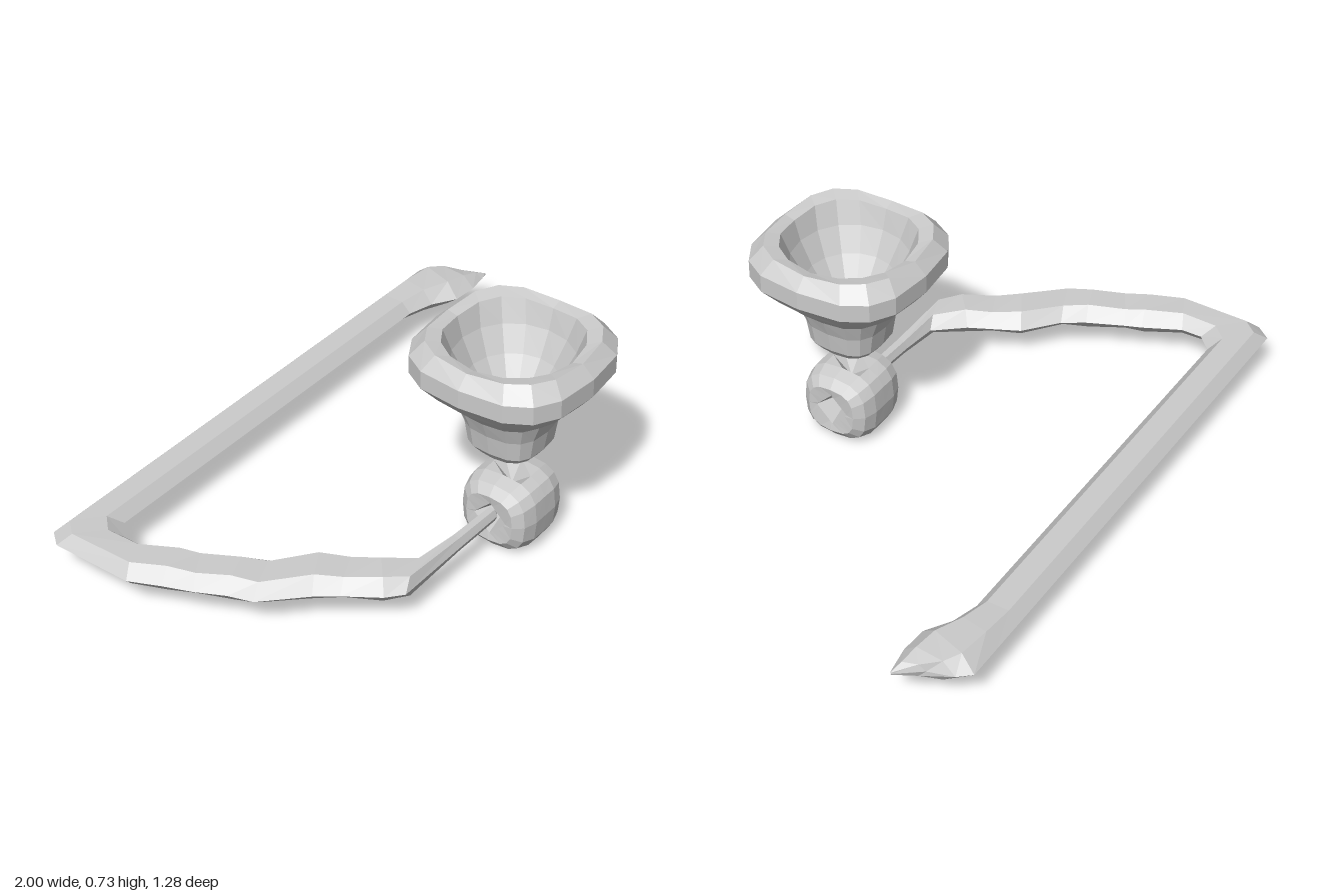
import * as THREE from 'three';

const material = new THREE.MeshStandardMaterial({ color: 0xcccccc, flatShading: true });

// Skin a list of equal-length rings (each ring turns anticlockwise about the direction of travel)
function loft(name, rings, closed = false) {
  const n = rings[0].length, pos = rings.flat(2), index = [];
  const last = closed ? rings.length : rings.length - 1;
  for (let i = 0; i < last; i++) {
    const k = (i + 1) % rings.length;
    for (let j = 0; j < n; j++) {
      const m = (j + 1) % n;
      const a = i * n + j, b = i * n + m, c = k * n + j, d = k * n + m;
      index.push(a, b, c, b, d, c);
    }
  }
  const geometry = new THREE.BufferGeometry();
  geometry.setAttribute('position', new THREE.Float32BufferAttribute(pos, 3));
  geometry.setIndex(index);
  geometry.computeVertexNormals();
  const mesh = new THREE.Mesh(geometry, material);
  mesh.name = name;
  return mesh;
}

// Superellipse outline of 16 points: power 1 is a diamond, 2 a circle, 3 a rounded square
function outline(rx, ry, power) {
  const bend = (v) => Math.sign(v) * Math.abs(v) ** (2 / power);
  return Array.from({ length: 16 }, (_, j) => {
    const a = (j * Math.PI) / 8;
    return [rx * bend(Math.cos(a)), ry * bend(Math.sin(a))];
  });
}

// Hollow bowl: up the outside, over the rim, down the inside to a small diamond hole
function makeBowl() {
  const profile = [ // y, half width, outline power
    [0.34, 0.04, 1], [0.34, 0.095, 2.6], [0.37, 0.118, 3], [0.44, 0.13, 2.8], [0.5, 0.155, 2.5],
    [0.575, 0.235, 2.6], [0.63, 0.28, 2.9], [0.69, 0.28, 2.9], [0.728, 0.24, 2.8],
    [0.718, 0.205, 2.4], [0.65, 0.185, 2.1], [0.57, 0.145, 2], [0.49, 0.09, 2], [0.45, 0.055, 1.2],
  ];
  const rings = profile.map(([y, r, power]) => outline(r, r, power).map(([u, v], j) => {
    const corner = y > 0.7 ? 0.01 * Math.abs(Math.sin((j * Math.PI) / 4)) : 0; // rim lifts at corners
    return [u, y + corner, 0.36 - v];
  }));
  return loft('bowl', rings, true);
}

// Chunky rounded joint, bored through from side to side, with a socket in the top
function makeJoint() {
  const profile = [ // x, scale, outline power
    [-0.115, 0.45, 1], [-0.12, 0.66, 2.8], [-0.095, 0.9, 2.8], [-0.05, 1, 2.9], [0, 1, 3],
    [0.05, 1, 2.9], [0.095, 0.9, 2.8], [0.12, 0.66, 2.8], [0.115, 0.45, 1],
    [0.05, 0.22, 1], [-0.05, 0.22, 1],
  ];
  const rings = profile.map(([x, s, power]) => outline(0.125 * s, 0.128 * s, power).map(([u, v], j) => {
    const dent = x === 0 && j === 0 ? 0.06 : 0;
    return [x, 0.13 + u - dent, 0.367 + v];
  }));
  return loft('joint', rings, true);
}

// Hexagonal sections between an outer and an inner edge point in plan
function makeStem() {
  const sections = [ // outer x, outer z, inner x, inner z, half height
    [-0.08, 0.366, -0.08, 0.364, 0.002], [-0.1, 0.385, -0.1, 0.345, 0.022],
    [-0.28, 0.383, -0.28, 0.337, 0.024], [-0.56, 0.383, -0.4, 0.325, 0.036],
    [-0.61, 0.34, -0.48, 0.23, 0.045], [-0.68, 0.235, -0.515, 0.16, 0.038],
    [-0.73, 0.17, -0.56, 0.07, 0.045], [-0.85, 0.05, -0.67, -0.02, 0.038],
    [-0.875, -0.03, -0.715, -0.09, 0.045], [-0.92, -0.12, -0.77, -0.21, 0.038],
    [-0.955, -0.21, -0.79, -0.26, 0.045], [-1, -0.31, -0.85, -0.38, 0.04],
    [-1, -0.59, -0.85, -0.45, 0.036], [-0.96, -0.64, -0.8, -0.5, 0.035],
    [0.64, -0.64, 0.64, -0.5, 0.035], [0.76, -0.64, 0.73, -0.475, 0.042],
    [0.88, -0.64, 0.81, -0.425, 0.044], [0.915, -0.6, 0.9, -0.42, 0.036],
    [0.94, -0.52, 0.97, -0.432, 0.022], [1, -0.442, 1, -0.438, 0.004],
  ];
  const around = [[0, 0], [0.24, 1], [0.76, 1], [1, 0], [0.76, -1], [0.24, -1]];
  const rings = sections.map(([ox, oz, ix, iz, h]) => around.map(([t, s]) =>
    [ox + (ix - ox) * t, 0.135 + s * h, oz + (iz - oz) * t]));
  const stem = loft('stem', rings);
  stem.name = 'curvedStemWithMouthpiece';
  return stem;
}

export function createModel() {
  const group = new THREE.Group();
  group.name = 'pipe';
  group.add(makeBowl(), makeJoint(), makeStem());
  return group;
}
